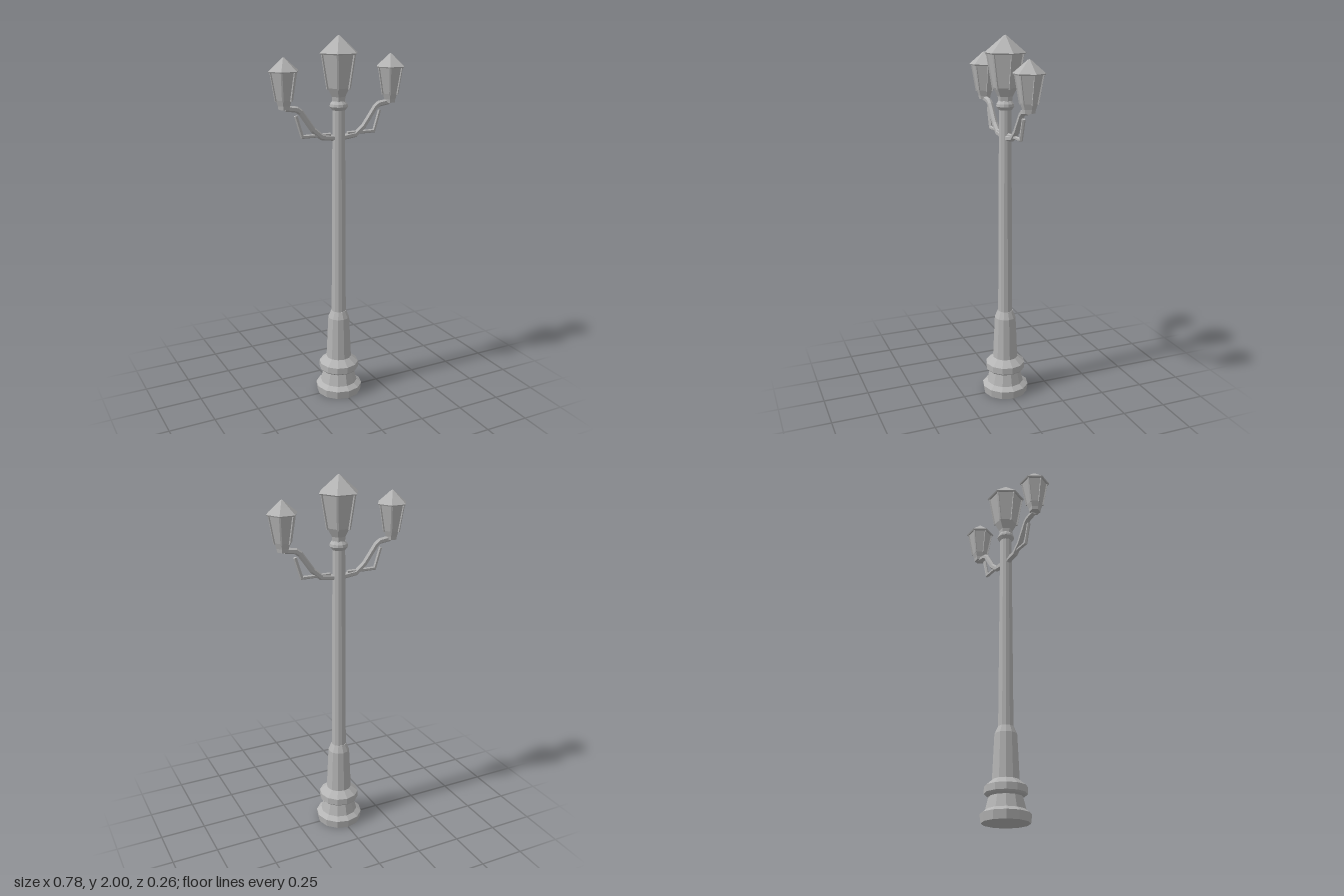
import * as THREE from 'three';

const iron = new THREE.MeshStandardMaterial({ color: 0xb4b4b4, flatShading: true });
iron.name = 'grey iron';

function mesh(name, geometry) {
  const m = new THREE.Mesh(geometry, iron);
  m.name = name;
  return m;
}

// Faceted turned part; corners lie on the x axis
function turned(name, sides, profile) {
  const points = profile.map(([r, y]) => new THREE.Vector2(r, y));
  return mesh(name, new THREE.LatheGeometry(points, sides, Math.PI / 2));
}

// Capped bar swept along a path in the xy plane, with mitred corners
function bar(name, path, radius, sides = 6) {
  const pts = path.map(([x, y]) => new THREE.Vector2(x, y));
  const dir = (i) => pts[i + 1].clone().sub(pts[i]).normalize();
  const last = pts.length - 1;
  const pos = [], idx = [];
  pts.forEach((p, i) => {
    const a = dir(Math.max(i - 1, 0)), b = dir(Math.min(i, last - 1));
    const t = a.clone().add(b).normalize();
    const stretch = radius / t.dot(a);
    for (let k = 0; k < sides; k++) {
      const ang = ((k + 0.5) / sides) * Math.PI * 2;
      const u = Math.sin(ang) * stretch;
      pos.push(p.x - t.y * u, p.y + t.x * u, Math.cos(ang) * radius);
    }
  });
  for (let i = 0; i < last; i++) {
    for (let k = 0; k < sides; k++) {
      const a = i * sides + k, b = i * sides + (k + 1) % sides;
      idx.push(a, a + sides, b, b, a + sides, b + sides);
    }
  }
  for (let k = 1; k < sides - 1; k++) {
    const e = last * sides;
    idx.push(0, k, k + 1, e, e + k + 1, e + k);
  }
  const g = new THREE.BufferGeometry();
  g.setAttribute('position', new THREE.Float32BufferAttribute(pos, 3));
  g.setIndex(idx);
  g.computeVertexNormals();
  return mesh(name, g);
}

// Six-sided lantern: tapered body, corner ribs and a pointed roof
function lantern(name, { foot, low, high, roof, yFoot, yLow, yEave, yTip, rib }) {
  const group = new THREE.Group();
  group.name = name;
  group.add(turned('lanternBody', 6, [
    [0, yFoot], [foot, yFoot], [foot * 1.1, yFoot + (yLow - yFoot) * 0.4],
    [low, yLow], [high, yEave], [0, yEave],
  ]));
  group.add(turned('lanternRoof', 6, [
    [0, yEave - 0.006], [roof * 0.96, yEave - 0.006], [roof, yEave],
    [roof * 0.5, yEave + (yTip - yEave) * 0.52], [0.008, yTip - 0.003], [0, yTip],
  ]));
  for (let i = 0; i < 6; i++) {
    const pivot = new THREE.Group();
    pivot.name = 'cornerRib';
    pivot.rotation.y = (i * Math.PI) / 3;
    pivot.add(bar('rib', [[low, yLow - 0.005], [high, yEave]], rib, 4));
    group.add(pivot);
  }
  return group;
}

export function createModel() {
  const model = new THREE.Group();
  model.name = 'streetLamp';

  // Stepped pedestal and tapering column
  model.add(turned('pedestal', 12, [
    [0, 0], [0.124, 0], [0.13, 0.045], [0.103, 0.065], [0.087, 0.13],
    [0.102, 0.138], [0.11, 0.146], [0.11, 0.182], [0.07, 0.215],
    [0.059, 0.455], [0.042, 0.495], [0, 0.495],
  ]));
  model.add(turned('column', 12, [[0.04, 0.48], [0.033, 1.63], [0, 1.63]]));
  model.add(turned('collar', 12, [
    [0, 1.62], [0.035, 1.62], [0.048, 1.638], [0.046, 1.652], [0.034, 1.668], [0, 1.668],
  ]));

  model.add(lantern('centreLantern', {
    foot: 0.036, low: 0.064, high: 0.095, roof: 0.109,
    yFoot: 1.66, yLow: 1.735, yEave: 1.912, yTip: 2, rib: 0.007,
  }));

  // Matching arms, braces and smaller lanterns
  for (const s of [1, -1]) {
    const side = new THREE.Group();
    side.name = s > 0 ? 'leftArm' : 'rightArm';
    side.rotation.y = s > 0 ? 0 : Math.PI;
    side.add(bar('arm', [
      [0.01, 1.473], [0.1, 1.485], [0.15, 1.527], [0.218, 1.622], [0.24, 1.638], [0.3, 1.647],
    ], 0.016));
    side.add(bar('brace', [[0.05, 1.495], [0.211, 1.495], [0.245, 1.605]], 0.01));
    const lamp = lantern('sideLantern', {
      foot: 0.031, low: 0.044, high: 0.07, roof: 0.083,
      yFoot: 1.642, yLow: 1.69, yEave: 1.833, yTip: 1.9, rib: 0.006,
    });
    lamp.position.x = 0.308;
    side.add(lamp);
    model.add(side);
  }
  return model;
}
